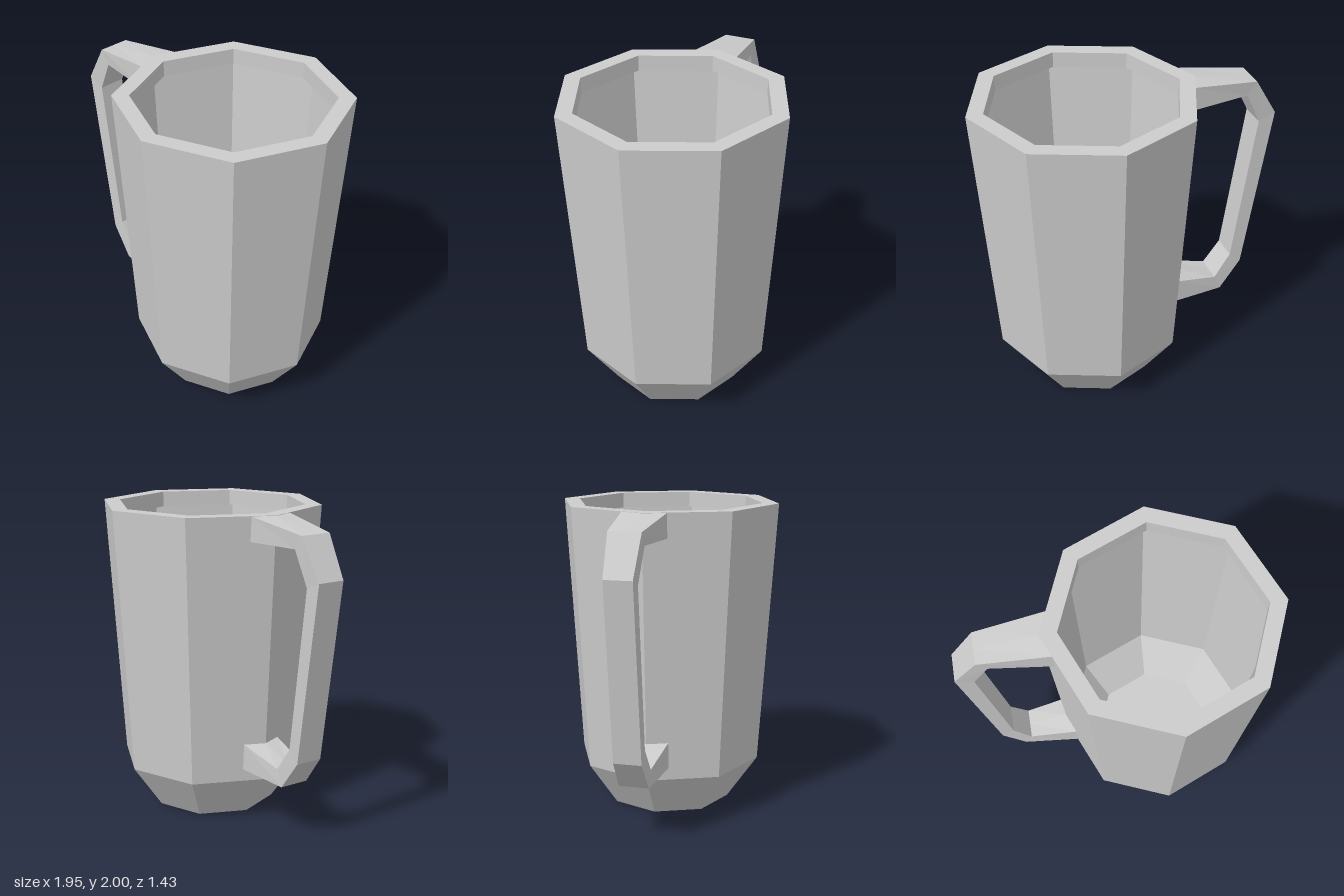
import * as THREE from 'three';

const CX = 0.26;       // mug axis, offset so mug plus handle is centred

// x of the octagonal wall at height y and depth z, near its -x corner
function wallX(y, z) {
  const r = 0.61 + 0.105 * (y - 0.29) / 1.71;
  return CX - r + Math.abs(z) * Math.tan(Math.PI / 8);
}

// Thin eight-sided shell: floor, chamfer, tapered wall, rim and inner lip
function makeBody(material) {
  const profile = [[0, 0], [0.41, 0], [0.61, 0.29], [0.715, 2], [0.61, 2], [0.608, 1.9]]
    .map(([r, y]) => new THREE.Vector2(r, y));
  const body = new THREE.Mesh(new THREE.LatheGeometry(profile, 8), material);
  body.name = 'mugBody';
  body.position.x = CX;
  return body;
}

// Handle swept through cross-sections; both ends wrap around the wall corner
function makeHandle(material) {
  // outer x, outer y, inner x, inner y, half width (null x = meets the wall)
  const sections = [
    [null, 1.998, null, 1.845, 0.14],
    [-0.83, 1.94, -0.77, 1.855, 0.1],
    [-0.98, 1.69, -0.87, 1.645, 0.087],
    [-0.81, 0.56, -0.73, 0.63, 0.087],
    [-0.665, 0.365, -0.62, 0.47, 0.095],
    [null, 0.37, null, 0.54, 0.13],
  ];
  const rings = sections.map(([ox, oy, ix, iy, w]) => {
    const outer = [-w, 0, w].map((z) => [ox ?? wallX(oy, z), oy, z]);
    const inner = [w, 0, -w].map((z) => [ix ?? wallX(iy, z), iy, z]);
    return [...outer, ...inner];
  });

  const positions = [];
  for (let i = 0; i < rings.length - 1; i++) {
    for (let j = 0; j < 6; j++) {
      const k = (j + 1) % 6;
      const a = rings[i][j], b = rings[i][k];
      const c = rings[i + 1][j], d = rings[i + 1][k];
      positions.push(...a, ...c, ...b, ...b, ...c, ...d);
    }
  }
  const geometry = new THREE.BufferGeometry();
  geometry.setAttribute('position', new THREE.Float32BufferAttribute(positions, 3));
  geometry.computeVertexNormals();
  const handle = new THREE.Mesh(geometry, material);
  handle.name = 'handle';
  return handle;
}

export function createModel() {
  const grey = new THREE.MeshStandardMaterial({
    name: 'light grey', color: 0xcccccc, flatShading: true, side: THREE.DoubleSide,
  });
  const mug = new THREE.Group();
  mug.name = 'mug';
  mug.add(makeBody(grey), makeHandle(grey));
  return mug;
}
